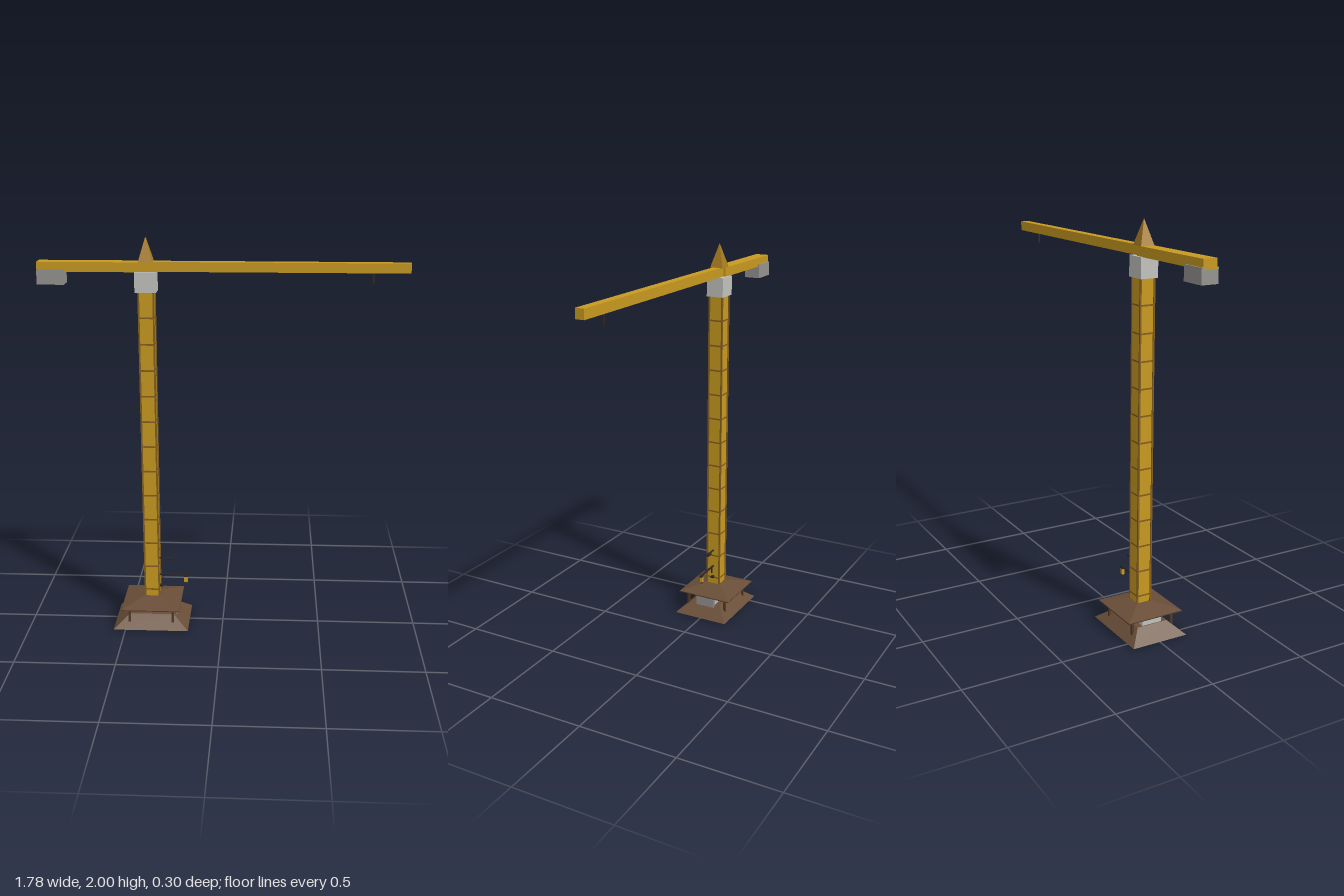
import * as THREE from 'three';

const mat = (name, color) => {
  const m = new THREE.MeshStandardMaterial({ color });
  m.name = name;
  return m;
};

export function createModel() {
  const yellow = mat('crane yellow', 0xc99a20);
  const peakOchre = mat('peak ochre', 0xa87c20);
  const ochre = mat('dark ochre', 0x86601f);
  const brown = mat('roof brown', 0x694e38);
  const timber = mat('dark timber', 0x553c28);
  const paleGrey = mat('pale grey', 0xc2c2be);
  const grey = mat('concrete grey', 0x969490);
  const darkGrey = mat('dark grey', 0x7c7c7c);
  const iron = mat('iron', 0x2b2628);

  const model = new THREE.Group();
  model.name = 'towerCrane';
  const MX = -0.368; // mast axis

  // Box given by its extents on each axis
  const box = (name, material, [x0, x1], [y0, y1], [z0, z1], parent = model) => {
    const mesh = new THREE.Mesh(new THREE.BoxGeometry(x1 - x0, y1 - y0, z1 - z0), material);
    mesh.position.set((x0 + x1) / 2, (y0 + y1) / 2, (z0 + z1) / 2);
    mesh.name = name;
    parent.add(mesh);
  };

  // Box whose bottom and top faces have the given half sizes
  const frustum = (name, material, y0, y1, bx, bz, tx, tz) => {
    const geo = new THREE.BoxGeometry(2, y1 - y0, 2);
    const p = geo.attributes.position;
    for (let i = 0; i < p.count; i++) {
      const top = p.getY(i) > 0;
      p.setX(i, p.getX(i) * (top ? tx : bx));
      p.setZ(i, p.getZ(i) * (top ? tz : bz));
    }
    geo.computeVertexNormals();
    const mesh = new THREE.Mesh(geo, material);
    mesh.position.set(MX, (y0 + y1) / 2, 0);
    mesh.name = name;
    model.add(mesh);
  };

  // Sloped plinth with a grey underside
  frustum('plinth', brown, 0.002, 0.063, 0.193, 0.149, 0.116, 0.082);
  box('plinthUnderside', darkGrey, [MX - 0.175, MX + 0.175], [0, 0.003], [-0.132, 0.132]);

  // Hut with a concrete end block, window trims, posts and hipped roof
  box('hut', paleGrey, [MX - 0.112, MX + 0.115], [0.05, 0.112], [-0.053, 0.053]);
  box('endBlock', grey, [MX + 0.11, MX + 0.135], [0.05, 0.112], [-0.053, 0.053]);
  for (const s of [1, -1]) {
    const z = s * 0.054;
    box('windowHead', iron, [MX - 0.055, MX + 0.055], [0.1, 0.105], [z - 0.002, z + 0.002]);
    box('windowSill', timber, [MX - 0.055, MX + 0.055], [0.063, 0.068], [z - 0.002, z + 0.002]);
    for (const t of [1, -1]) {
      const x = MX + t * 0.112;
      box('post', timber, [x - 0.006, x + 0.006], [0.028, 0.113], [s * 0.11 - 0.006, s * 0.11 + 0.006]);
    }
  }
  box('eaves', timber, [MX - 0.15, MX + 0.15], [0.109, 0.114], [-0.149, 0.149]);
  frustum('roof', brown, 0.114, 0.146, 0.15, 0.149, 0.042, 0.042);

  // Mast: core, corner legs and regular bands
  const mast = new THREE.Group();
  mast.name = 'mast';
  model.add(mast);
  const H = 0.035;
  box('mastCore', yellow, [MX - H, MX + H], [0.14, 1.75], [-H, H], mast);
  for (const sx of [1, -1]) for (const sz of [1, -1]) {
    const x = MX + sx * 0.036, z = sz * 0.036;
    box('mastLeg', ochre, [x - 0.004, x + 0.004], [0.14, 1.745], [z - 0.004, z + 0.004], mast);
  }
  for (let i = 0; i < 12; i++) {
    const y = 0.183 + i * 0.1303;
    box('mastBand', ochre, [MX - 0.037, MX + 0.037], [y - 0.004, y + 0.004], [-0.037, 0.037], mast);
  }

  // Slewing cab, jibs and peak
  box('cab', paleGrey, [MX - 0.053, MX + 0.05], [1.74, 1.838], [-0.045, 0.045]);
  box('jib', yellow, [MX, 0.89], [1.838, 1.885], [-0.022, 0.022]);
  box('counterJib', yellow, [-0.89, MX], [1.837, 1.884], [-0.035, 0.035]);
  box('counterweight', grey, [-0.89, -0.76], [1.776, 1.848], [-0.042, 0.042]);
  frustum('peak', peakOchre, 1.884, 2, 0.035, 0.035, 0.001, 0.001);

  // Hook hanging from the jib
  box('hook', iron, [0.71, 0.721], [1.786, 1.838], [-0.005, 0.005]);

  // Sign arm with its lantern, and small brackets
  box('signArm', iron, [-0.335, -0.178], [0.248, 0.255], [-0.004, 0.004]);
  box('armStay', iron, [-0.317, -0.312], [0.216, 0.25], [-0.003, 0.003]);
  box('lanternHanger', iron, [-0.206, -0.182], [0.242, 0.248], [-0.006, 0.006]);
  box('lantern', yellow, [-0.203, -0.185], [0.212, 0.242], [-0.007, 0.007]);
  box('lanternFoot', iron, [-0.199, -0.187], [0.206, 0.212], [-0.005, 0.005]);
  box('upperArm', iron, [-0.335, -0.285], [0.343, 0.348], [-0.004, 0.004]);
  box('upperArmTip', iron, [-0.29, -0.257], [0.337, 0.346], [-0.01, 0.01]);
  box('lowerBracket', iron, [-0.335, -0.314], [0.184, 0.194], [-0.008, 0.008]);

  return model;
}
